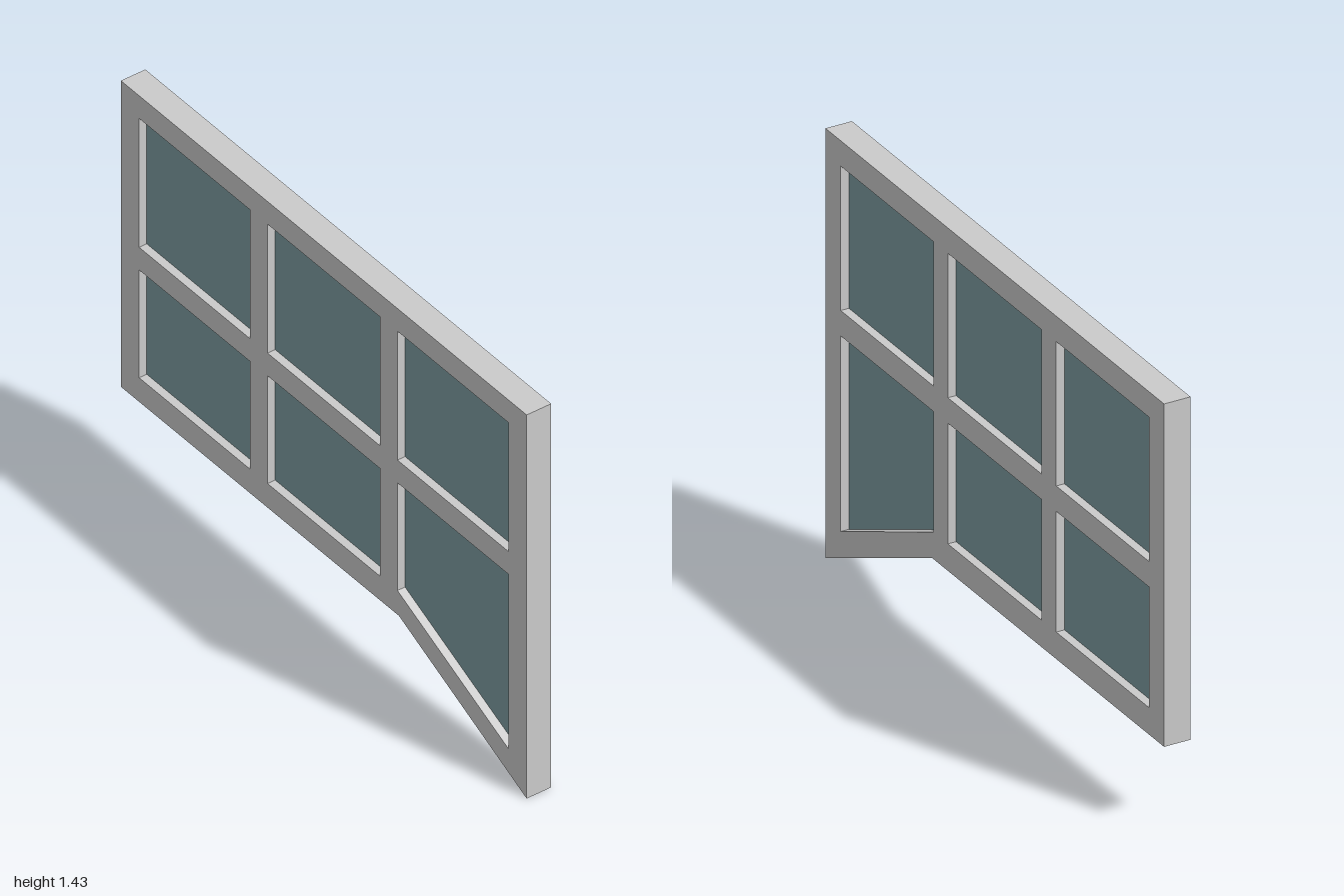
import * as THREE from 'three';

const FRAME_DEPTH = 0.09;
const GLASS_DEPTH = 0.034;

// Extrude a side outline given as [z, y] points, centred on x = 0
function slab(outline, depth, material, name, holes = []) {
  const toPoints = (pts) => pts.map(([z, y]) => new THREE.Vector2(-z, y));
  const shape = new THREE.Shape(toPoints(outline));
  for (const hole of holes) shape.holes.push(new THREE.Path(toPoints(hole)));
  const geometry = new THREE.ExtrudeGeometry(shape, { depth, bevelEnabled: false });
  geometry.translate(0, 0, -depth / 2);
  geometry.rotateY(Math.PI / 2);
  const mesh = new THREE.Mesh(geometry, material);
  mesh.name = name;
  return mesh;
}

export function createModel() {
  const frameMaterial = new THREE.MeshStandardMaterial({ color: 0xcbcbcb });
  frameMaterial.name = 'frameGrey';
  const glassMaterial = new THREE.MeshStandardMaterial({ color: 0x7e9da2 });
  glassMaterial.name = 'glassBlue';

  const group = new THREE.Group();
  group.name = 'window';

  // Openings: three columns by two rows, the front lower one has a sloping sill
  const columns = [[0.91, 0.363], [0.277, -0.277], [-0.363, -0.91]];
  const panes = [];
  columns.forEach(([z0, z1], i) => {
    const sill = i === 0 ? 0.13 : 0.38;
    panes.push([[z0, 0.868], [z1, 0.868], [z1, 1.35], [z0, 1.35]]);
    panes.push([[z0, sill], [z1, 0.38], [z1, 0.783], [z0, 0.783]]);
  });

  // Frame with a lower edge that drops toward the front
  const outline = [[1, 0], [0.37, 0.29], [-1, 0.29], [-1, 1.435], [1, 1.435]];
  group.add(slab(outline, FRAME_DEPTH, frameMaterial, 'frame', panes));

  // Glass panes, recessed on both sides
  panes.forEach((pane, i) => {
    group.add(slab(pane, GLASS_DEPTH, glassMaterial, `glassPane${i + 1}`));
  });

  return group;
}
